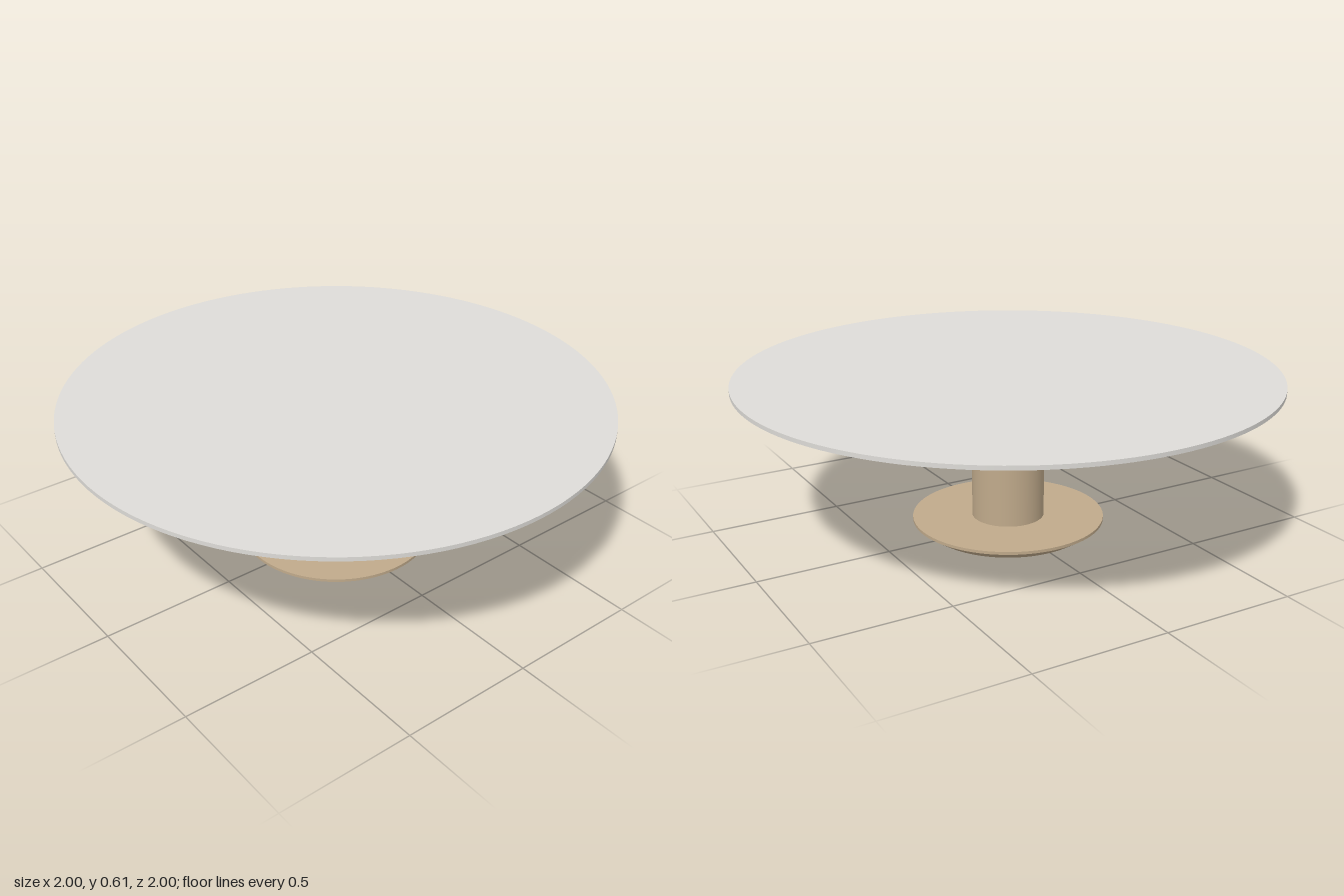
import * as THREE from 'three';

export function createModel() {
  const model = new THREE.Group();
  model.name = 'roundPedestalTable';

  const wood = new THREE.MeshStandardMaterial({ color: 0xc0aa8b });
  wood.name = 'tan wood';
  const stone = new THREE.MeshStandardMaterial({ color: 0xdedcd8 });
  stone.name = 'pale grey top';

  // Upright disc or cone section between two heights
  function disc(name, material, bottomRadius, topRadius, y0, y1, openEnded = false) {
    const geometry = new THREE.CylinderGeometry(topRadius, bottomRadius, y1 - y0, 128, 1, openEnded);
    const mesh = new THREE.Mesh(geometry, material);
    mesh.name = name;
    mesh.position.y = (y0 + y1) / 2;
    model.add(mesh);
  }

  // Base: bevelled underside with a thin upright rim
  disc('baseBevel', wood, 0.305, 0.362, 0, 0.037);
  disc('baseRim', wood, 0.362, 0.362, 0.037, 0.048);

  // Column and the plate that carries the top
  disc('column', wood, 0.136, 0.136, 0.048, 0.528, true);
  disc('mountingPlate', wood, 0.362, 0.362, 0.528, 0.56);

  // Table top: bevelled wooden underside and thin grey slab
  disc('topBevel', wood, 0.9, 1, 0.56, 0.595);
  disc('topSlab', stone, 1, 1, 0.595, 0.61);

  return model;
}
